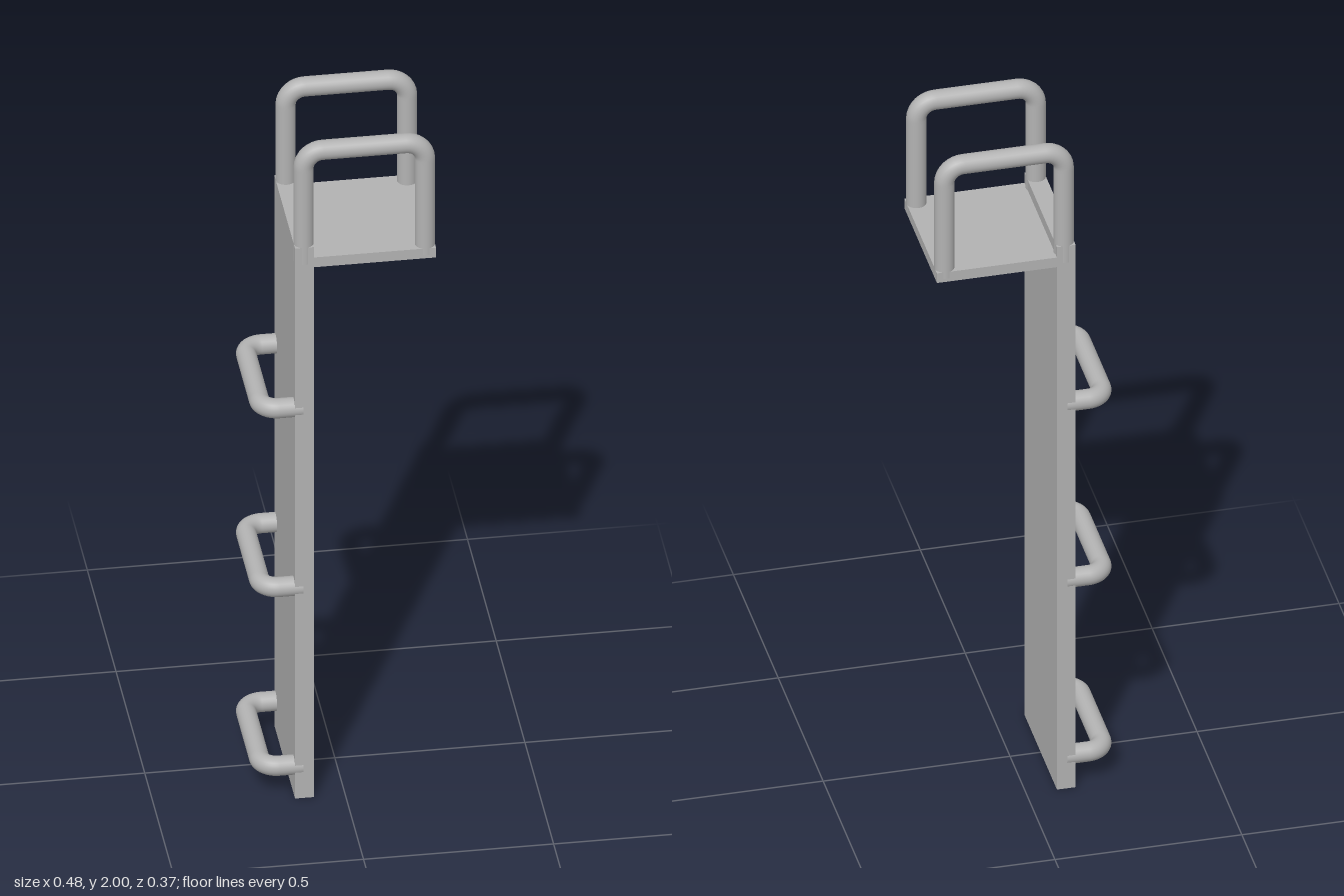
import * as THREE from 'three';

const TUBE_R = 0.0265;

// Smooth path through corner points, with each inner corner rounded by radius r
function roundedPath(pts, r) {
  const path = new THREE.CurvePath();
  let from = pts[0];
  for (let i = 1; i < pts.length - 1; i++) {
    const c = pts[i];
    const dirIn = pts[i - 1].clone().sub(c).normalize();
    const dirOut = pts[i + 1].clone().sub(c).normalize();
    const at = (dir, d) => c.clone().addScaledVector(dir, d);
    const k = r * (1 - 0.5523);
    path.add(new THREE.LineCurve3(from, at(dirIn, r)));
    path.add(new THREE.CubicBezierCurve3(at(dirIn, r), at(dirIn, k), at(dirOut, k), at(dirOut, r)));
    from = at(dirOut, r);
  }
  path.add(new THREE.LineCurve3(from, pts[pts.length - 1]));
  return path;
}

export function createModel() {
  const model = new THREE.Group();
  model.name = 'ladderWithPlatform';
  const grey = new THREE.MeshStandardMaterial({ color: 0xb2b2b2 });
  grey.name = 'grey';

  const addBox = (name, x0, x1, y0, y1, z) => {
    const mesh = new THREE.Mesh(new THREE.BoxGeometry(x1 - x0, y1 - y0, 2 * z), grey);
    mesh.position.set((x0 + x1) / 2, (y0 + y1) / 2, 0);
    mesh.name = name;
    model.add(mesh);
  };

  // Bent bar with flat end caps
  const addBar = (name, coords, r) => {
    const pts = coords.map((p) => new THREE.Vector3(...p));
    const bar = new THREE.Group();
    bar.name = name;
    const tube = new THREE.Mesh(new THREE.TubeGeometry(roundedPath(pts, r), 96, TUBE_R, 24, false), grey);
    tube.name = name + 'Tube';
    bar.add(tube);
    const n = pts.length;
    for (const [end, next] of [[pts[0], pts[1]], [pts[n - 1], pts[n - 2]]]) {
      const cap = new THREE.Mesh(new THREE.CircleGeometry(TUBE_R, 24), grey);
      cap.position.copy(end);
      cap.lookAt(end.clone().multiplyScalar(2).sub(next));
      cap.name = name + 'Cap';
      bar.add(cap);
    }
    model.add(bar);
  };

  // Upright board and the platform at its top
  addBox('backPanel', -0.132, -0.082, 0, 1.692, 0.181);
  addBox('platform', -0.082, 0.239, 1.63, 1.66, 0.181);

  // Handrails on both sides of the platform
  for (const [name, z] of [['frontHandrail', 0.156], ['backHandrail', -0.156]]) {
    addBar(name, [[-0.106, 1.64, z], [-0.106, 1.9735, z], [0.2135, 1.9735, z], [0.2135, 1.64, z]], 0.05);
  }

  // Climbing rungs
  [0.09, 0.64, 1.19].forEach((y, i) => {
    addBar('rung' + (i + 1), [[-0.11, y, -0.157], [-0.216, y, -0.157], [-0.216, y, 0.157], [-0.11, y, 0.157]], 0.045);
  });

  return model;
}
